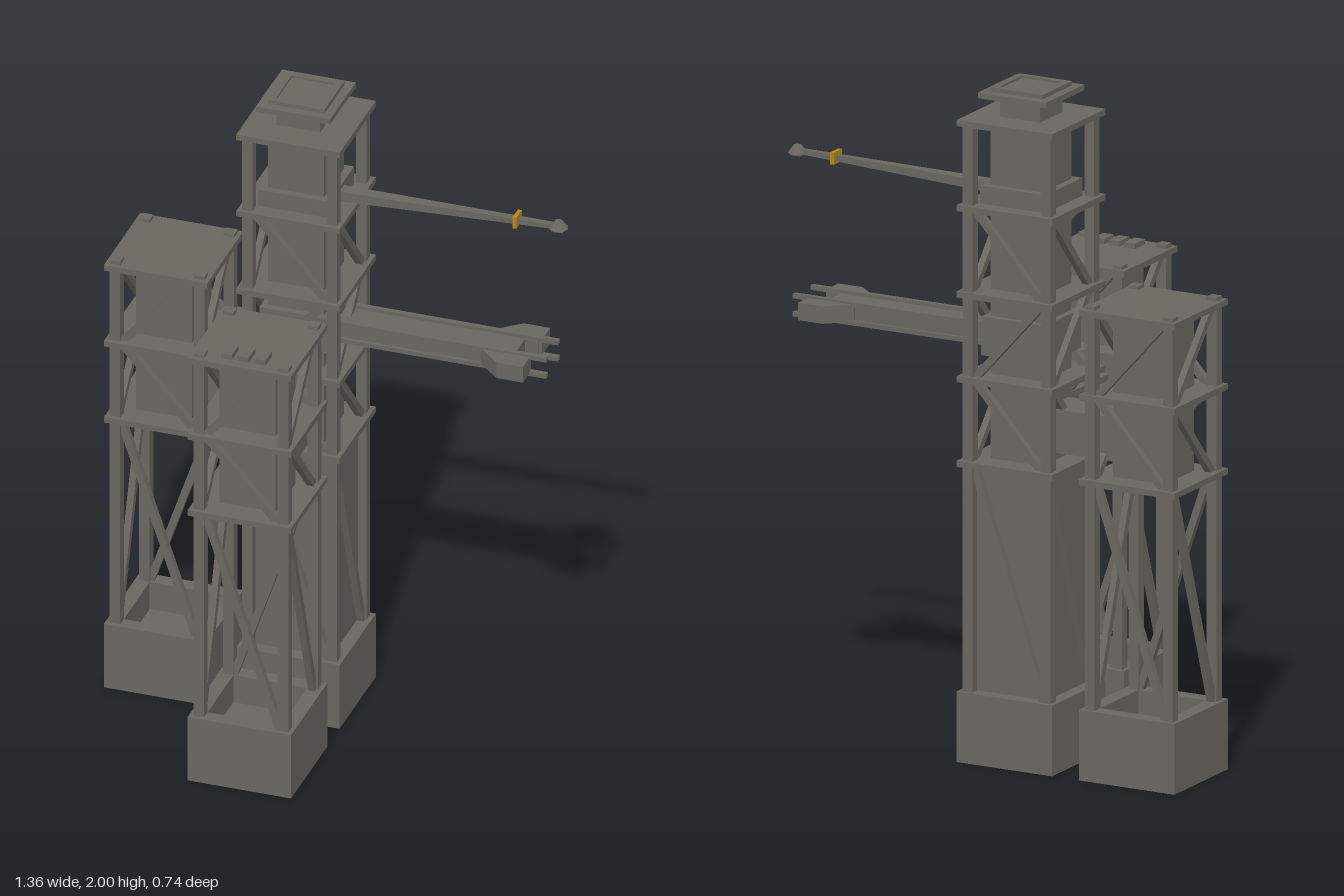
import * as THREE from 'three';

const steel = new THREE.MeshStandardMaterial({ color: 0x6a6760 });
steel.name = 'dark steel';
const amber = new THREE.MeshStandardMaterial({ color: 0xb8860b });
amber.name = 'amber band';

const HALF = 0.157, POST = 0.128, CORE = 0.085;

function add(parent, name, geo, mat = steel) {
  const mesh = new THREE.Mesh(geo, mat);
  mesh.name = name;
  parent.add(mesh);
  return mesh;
}

// Box given by its minimum and maximum on each axis
function box(parent, name, x0, x1, y0, y1, z0, z1, mat) {
  const m = add(parent, name, new THREE.BoxGeometry(x1 - x0, y1 - y0, z1 - z0), mat);
  m.position.set((x0 + x1) / 2, (y0 + y1) / 2, (z0 + z1) / 2);
  return m;
}

// Square block centred on the tower axis
const block = (parent, name, h, y0, y1) => box(parent, name, -h, h, y0, y1, -h, h);

// Square ring, open through the middle
function ring(parent, name, outer, inner, y0, y1) {
  const square = (Type, h) => new Type([[-h, -h], [h, -h], [h, h], [-h, h]].map(p => new THREE.Vector2(...p)));
  const shape = square(THREE.Shape, outer);
  shape.holes.push(square(THREE.Path, inner));
  const geo = new THREE.ExtrudeGeometry(shape, { depth: y1 - y0, bevelEnabled: false });
  geo.rotateX(-Math.PI / 2);
  add(parent, name, geo).position.y = y0;
}

// One diagonal on each of the four sides; dir 1 falls to the right
function braces(parent, y0, y1, dir) {
  const w = 2 * POST - 0.03, h = y1 - y0;
  for (let k = 0; k < 4; k++) {
    const side = new THREE.Group();
    side.name = 'braceSide';
    side.rotation.y = k * Math.PI / 2;
    const bar = add(side, 'diagonalBrace', new THREE.BoxGeometry(Math.hypot(w, h), 0.022, 0.02));
    bar.position.set(0, (y0 + y1) / 2, POST);
    bar.rotation.z = -dir * Math.atan2(h, w);
    parent.add(side);
  }
}

// Corner posts, decks and bracing shared by all towers
function frame(parent, name, x, z, decks) {
  const g = new THREE.Group();
  g.name = name;
  g.position.set(x, 0, z);
  parent.add(g);
  const top = decks[decks.length - 1];
  for (const sx of [-1, 1]) for (const sz of [-1, 1]) {
    const px = sx * POST, pz = sz * POST;
    box(g, 'cornerPost', px - 0.016, px + 0.016, 0.2, top, pz - 0.016, pz + 0.016);
  }
  for (const y of decks) block(g, 'deck', HALF, y - 0.009, y + 0.009);
  braces(g, 0.21, 0.88, 1);
  for (let i = 0; i < Math.min(decks.length - 1, 3); i++) {
    braces(g, decks[i], decks[i + 1], i % 2 ? -1 : 1);
  }
  return g;
}

// Lower tower with hollow footing and open legs
function sideTower(parent, name, x, z) {
  const g = frame(parent, name, x, z, [0.887, 1.139, 1.391]);
  ring(g, 'footing', HALF, 0.112, 0, 0.21);
  block(g, 'footingFloor', 0.115, 0.09, 0.12);
  block(g, 'core', CORE, 0.89, 1.39);
  for (const sx of [-1, 1]) for (const sz of [-1, 1]) {
    box(g, 'postCap', sx * POST - 0.016, sx * POST + 0.016, 1.395, 1.411,
      sz * POST - 0.016, sz * POST + 0.016);
  }
  return g;
}

export function createModel() {
  const root = new THREE.Group();
  root.name = 'launchTower';

  // Main tower
  const main = frame(root, 'mainTower', -0.12, -0.213, [0.887, 1.139, 1.391, 1.648, 1.901]);
  block(main, 'footing', HALF, 0, 0.21);
  block(main, 'lowerShaft', 0.118, 0.2, 0.885);
  block(main, 'core', CORE, 0.88, 1.9);
  block(main, 'upperCollar', 0.108, 1.65, 1.71);
  block(main, 'lowerCollar', 0.105, 1.205, 1.32);
  block(main, 'neck', 0.066, 1.9, 1.975);
  block(main, 'capPlate', 0.112, 1.97, 1.987);
  ring(main, 'capRim', 0.086, 0.067, 1.985, 2);
  block(main, 'capInset', 0.068, 1.985, 1.993);

  // Side towers
  sideTower(root, 'rightTower', -0.522, -0.213);
  const front = sideTower(root, 'frontTower', -0.12, 0.208);
  for (const x of [-0.051, 0, 0.051]) {
    box(front, 'roofVent', x - 0.017, x + 0.017, 1.395, 1.416, 0.066, 0.124);
  }

  // Bridges between the towers
  box(root, 'sideBridge', -0.45, -0.19, 0.935, 1.065, -0.279, -0.147);
  box(root, 'frontBridge', -0.186, -0.054, 0.935, 1.065, -0.14, 0.13);

  // Upper arm: thin tapering boom with a band and a domed tip
  const upper = new THREE.Group();
  upper.name = 'upperArm';
  upper.position.set(0, 0, -0.213);
  root.add(upper);
  const boom = new THREE.BoxGeometry(0.68, 1, 1);
  const p = boom.attributes.position;
  for (let i = 0; i < p.count; i++) {
    const tip = p.getX(i) > 0, up = p.getY(i) > 0, s = Math.sign(p.getZ(i));
    p.setXYZ(i, tip ? 0.64 : -0.04, tip ? (up ? 1.705 : 1.691) : (up ? 1.696 : 1.664), s * (tip ? 0.008 : 0.021));
  }
  boom.computeVertexNormals();
  add(upper, 'boom', boom);
  box(upper, 'boomBand', 0.515, 0.527, 1.679, 1.715, -0.024, 0.024, amber);
  const dome = new THREE.CylinderGeometry(0.012, 0.029, 0.022, 8).toNonIndexed();
  dome.computeVertexNormals();
  add(upper, 'boomTip', dome).position.set(0.647, 1.704, 0);
  box(upper, 'tipFoot', 0.63, 0.664, 1.686, 1.694, -0.016, 0.016);

  // Lower arm: inner beam, four rails and flared clamps
  const lower = new THREE.Group();
  lower.name = 'lowerArm';
  lower.position.set(0, 0, -0.213);
  root.add(lower);
  box(lower, 'beam', -0.05, 0.53, 1.23, 1.278, -0.045, 0.045);
  for (const s of [-1, 1]) {
    const z = s * 0.052;
    for (const y of [1.228, 1.282]) {
      box(lower, 'rail', -0.04, 0.63, y - 0.007, y + 0.007, z - 0.008, z + 0.008);
    }
    box(lower, 'sideWeb', -0.04, 0.57, 1.232, 1.278, s * 0.046 - 0.005, s * 0.046 + 0.005);
    const outline = [[0.43, 0.046], [0.58, 0.046], [0.58, 0.118], [0.5, 0.118], [0.43, 0.056]];
    const shape = new THREE.Shape(outline.map(([x, d]) => new THREE.Vector2(x, -s * d)));
    const geo = new THREE.ExtrudeGeometry(shape, { depth: 0.052, bevelEnabled: false });
    geo.rotateX(-Math.PI / 2);
    add(lower, 'clamp', geo).position.y = 1.231;
  }
  return root;
}
